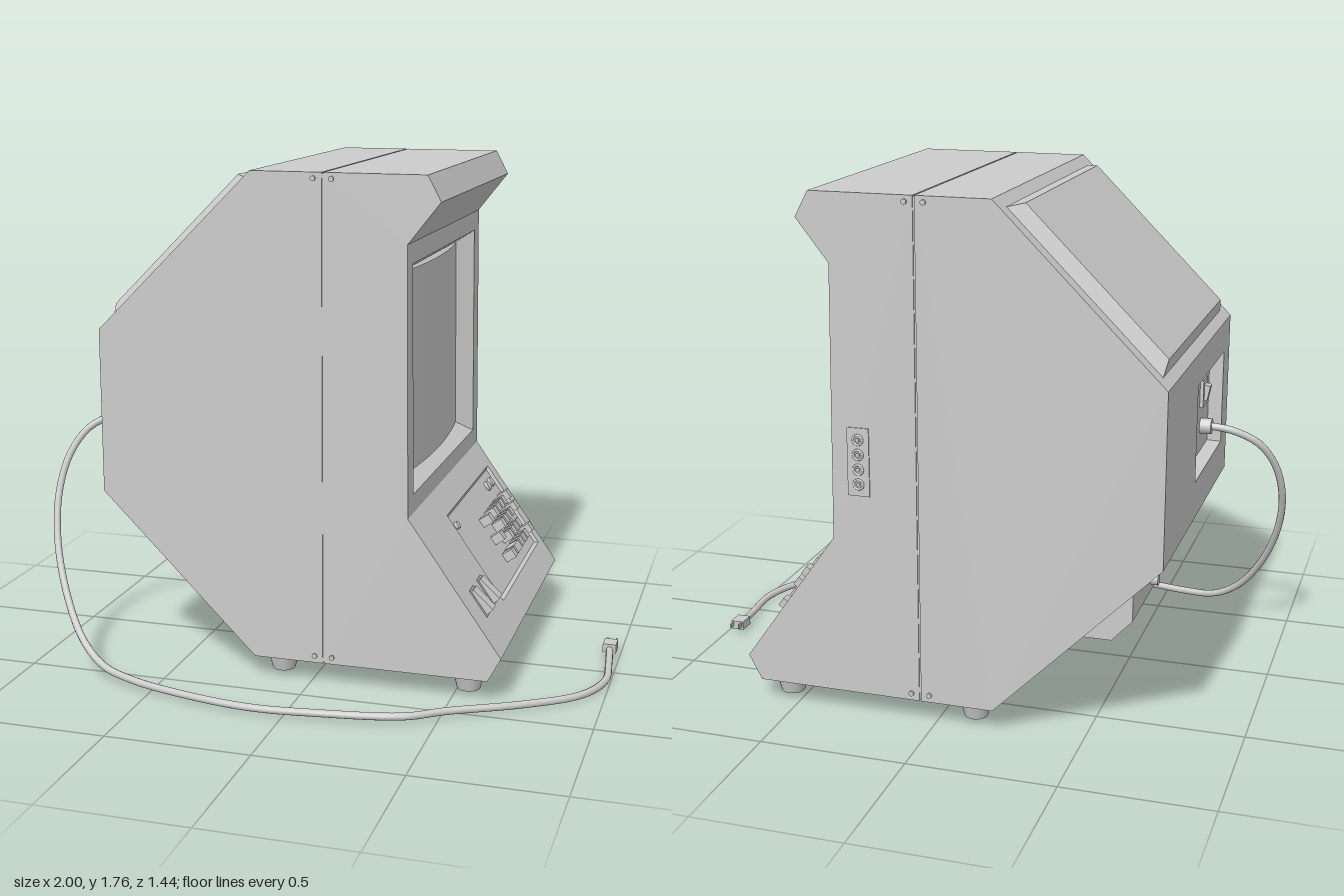
import * as THREE from 'three';

const Z0 = -0.715, Z1 = 0.39;
const grey = new THREE.MeshStandardMaterial({ color: 0xcccccc, side: THREE.DoubleSide });

function add(parent, name, geometry, x = 0, y = 0, z = 0) {
  const mesh = new THREE.Mesh(geometry, grey);
  mesh.name = name;
  mesh.position.set(x, y, z);
  parent.add(mesh);
  return mesh;
}

const box = (w, h, d) => new THREE.BoxGeometry(w, h, d);
const shapeOf = pts => new THREE.Shape(pts.map(p => new THREE.Vector2(...p)));
const rect = (u0, u1, v0, v1) => [[u0, v0], [u1, v0], [u1, v1], [u0, v1]];

// cylinder whose axis runs along z
const disc = (r, h, n = 16, r2 = r) => new THREE.CylinderGeometry(r, r2, h, n).rotateX(Math.PI / 2);

// Group lying on the cabinet edge p -> q: x along world z, y along the edge, z outward
function edgeFrame(parent, name, p, q) {
  const d = new THREE.Vector3(q[0] - p[0], q[1] - p[1], 0).normalize();
  const n = new THREE.Vector3(-d.y, d.x, 0);
  const g = new THREE.Group();
  g.name = name;
  g.quaternion.setFromRotationMatrix(new THREE.Matrix4().makeBasis(new THREE.Vector3(0, 0, 1), d, n));
  g.position.set(p[0], p[1], 0);
  parent.add(g);
  return g;
}

// Sloping rim from a rectangle to a smaller one at height h, optionally with a flat cap
function bevel([u0, u1, v0, v1], mu, mv, h, cap = true) {
  const outer = rect(u0, u1, v0, v1).map(p => [...p, 0]);
  const inner = rect(u0 + mu, u1 - mu, v0 + mv, v1 - mv).map(p => [...p, h]);
  const pos = [];
  const quad = (a, b, c, d) => pos.push(...a, ...b, ...c, ...a, ...c, ...d);
  for (let i = 0; i < 4; i++) quad(outer[i], outer[(i + 1) % 4], inner[(i + 1) % 4], inner[i]);
  if (cap) quad(...inner);
  const geo = new THREE.BufferGeometry();
  geo.setAttribute('position', new THREE.Float32BufferAttribute(pos, 3));
  geo.computeVertexNormals();
  return geo;
}

// Cabinet half from a clockwise profile; holes maps an edge index to an opening
function shell(parent, name, profile, holes) {
  const g = new THREE.Group();
  g.name = name;
  parent.add(g);
  for (const z of [Z0, Z1]) {
    const side = new THREE.ShapeGeometry(shapeOf(profile));
    if (z === Z0) {
      side.index.array.reverse();
      side.attributes.normal.array.forEach((v, i, a) => { a[i] = -v; });
    }
    add(g, 'sidePanel', side, 0, 0, z);
  }
  return profile.map((p, i) => {
    const q = profile[(i + 1) % profile.length];
    const f = edgeFrame(g, 'cabinetFace', p, q);
    const s = shapeOf(rect(Z0, Z1, 0, Math.hypot(q[0] - p[0], q[1] - p[1])));
    if (holes[i]) s.holes.push(new THREE.Path(rect(...holes[i]).reverse().map(c => new THREE.Vector2(...c))));
    add(f, 'facePanel', new THREE.ShapeGeometry(s));
    return f;
  });
}

export function createModel() {
  const model = new THREE.Group();
  model.name = 'displayTerminal';

  // Cabinet halves, split by a narrow seam
  const screenHole = [-0.635, 0.315, 0.07, 0.85];
  const keypadHole = [-0.655, 0.05, 0.098, 0.459];
  const socketHole = [-0.21, 0.28, 0.13, 0.465];
  const front = shell(model, 'frontShell', [[0.053, 1.765], [0.4, 1.765], [0.445, 1.68], [0.335, 1.54],
    [0.345, 0.625], [0.67, 0.165], [0.625, 0.08], [0.053, 0.08]], { 3: screenHole, 4: keypadHole });
  const rear = shell(model, 'rearShell', [[0.047, 0.08], [-0.2, 0.08], [-0.755, 0.635],
    [-0.755, 1.21], [-0.2, 1.765], [0.047, 1.765]], { 2: socketHole });
  add(model, 'seamCore', box(0.03, 1.677, 1.097), 0.05, 0.9225, -0.1625);

  // Screen: sloping surround and gently bowed glass
  add(front[3], 'screenSurround', bevel(screenHole, 0.045, 0.04, -0.06, false));
  const glass = new THREE.PlaneGeometry(0.86, 0.7, 20, 1);
  const gp = glass.attributes.position;
  for (let i = 0; i < gp.count; i++) gp.setZ(i, 0.03 * (1 - (gp.getX(i) / 0.43) ** 2));
  glass.computeVertexNormals();
  add(front[3], 'screenGlass', glass, -0.16, 0.46, -0.06);

  // Keypad in a shallow tray
  const desk = front[4];
  const down = y => (0.625 - y) * 1.224;
  add(desk, 'keypadTray', bevel(keypadHole, 0.004, 0.01, -0.012));
  const key = (z, y, w = 0.036) => add(desk, 'key', box(w, 0.034, 0.042), z, down(y), 0.009);
  const rows = [0.44, 0.398, 0.356, 0.314];
  for (const z of [-0.353, -0.404, -0.455, -0.505]) {
    for (const y of rows) if (z !== -0.353 || y !== rows[3]) key(z, y);
  }
  key(-0.333, rows[3], 0.075);
  for (const y of [0.44, 0.377, 0.314]) key(-0.262, y);
  for (const y of [0.44, 0.398, 0.314]) key(-0.6, y);
  for (const [z, r] of [[0, 0.014], [-0.54, 0.019], [-0.6, 0.019]]) {
    add(desk, 'indicator', disc(r, 0.014), z, down(0.5), -0.007);
  }

  // Two rocker switches beside the keypad
  for (const z of [0.255, 0.137]) {
    add(desk, 'rockerFrame', box(0.056, 0.108, 0.008), z, down(0.312));
    add(desk, 'rocker', box(0.048, 0.094, 0.03), z, down(0.312), 0.008).rotation.x = 0.2;
  }

  // Raised cover on the upper back slope
  add(rear[3], 'backCover', bevel([-0.66, 0.33, 0.04, 0.742], 0.045, 0.028, 0.039));

  // Rear socket bay with a power switch and cord grip
  add(rear[2], 'socketBay', bevel(socketHole, 0.002, 0.002, -0.05));
  add(rear[2], 'switchPlate', box(0.07, 0.1, 0.012), 0.14, 0.35, -0.044);
  add(rear[2], 'powerSwitch', box(0.035, 0.055, 0.025), 0.14, 0.35, -0.035).rotation.x = 0.2;
  add(rear[2], 'cordGrip', disc(0.028, 0.04), 0.14, 0.225, -0.03);

  // Housing under the lower back slope
  const housing = new THREE.ExtrudeGeometry(shapeOf([[-0.415, 0.285], [-0.415, 0.295], [-0.55, 0.295],
    [-0.62, 0.37], [-0.62, 0.51]].slice(1).reverse()), { depth: 0.33, bevelEnabled: false });
  add(model, 'lampHousing', housing, 0, 0, -0.52);
  add(model, 'housingFoot', new THREE.CylinderGeometry(0.042, 0.038, 0.045, 20), -0.44, 0.28, -0.36);
  add(model, 'housingKnob', new THREE.CylinderGeometry(0.02, 0.02, 0.03, 16).rotateZ(Math.PI / 2), -0.63, 0.41, -0.23);
  add(rear[1], 'ventPlate', box(0.33, 0.12, 0.02), -0.355, 0.185, 0.006);

  // Row of jacks on the side panel
  add(model, 'jackPlate', box(0.075, 0.23, 0.006), 0.25, 0.895, Z0 - 0.001);
  for (let i = 0; i < 4; i++) {
    const y = 0.82 + i * 0.05;
    add(model, 'jackRing', new THREE.TorusGeometry(0.016, 0.004, 8, 20), 0.25, y, Z0 - 0.005);
    add(model, 'jackPin', disc(0.007, 0.012, 12), 0.25, y, Z0 - 0.004);
  }

  // Screws beside the seam
  for (const z of [Z0, Z1]) for (const x of [0.018, 0.08]) for (const y of [0.105, 1.745]) {
    add(model, 'screw', disc(0.009, 0.014, 12), x, y, z);
  }

  // Tapered feet
  for (const x of [-0.12, 0.545]) for (const z of [0.31, -0.635]) {
    add(model, 'foot', new THREE.CylinderGeometry(0.055, 0.04, 0.06, 24), x, 0.05, z);
  }

  // Power cord trailing around to the front
  const path = [[-0.79, 0.86, 0.14], [-0.755, 0.86, 0.14], [-0.83, 0.845, 0.15], [-0.91, 0.8, 0.175],
    [-0.965, 0.71, 0.22], [-0.987, 0.58, 0.275], [-0.965, 0.42, 0.345], [-0.895, 0.25, 0.43], [-0.8, 0.12, 0.51],
    [-0.7, 0.055, 0.565], [-0.58, 0.036, 0.61], [-0.4, 0.03, 0.66], [-0.12, 0.027, 0.702], [0.12, 0.03, 0.69],
    [0.4, 0.03, 0.635], [0.52, 0.028, 0.55], [0.75, 0.022, 0.41], [0.92, 0.018, 0.27], [0.983, 0.016, 0.12],
    [0.975, 0.018, -0.05], [0.962, 0.025, -0.17]];
  path[0] = [-0.7, 0.86, 0.14];
  const curve = new THREE.CatmullRomCurve3(path.map(p => new THREE.Vector3(...p)));
  add(model, 'powerCord', new THREE.TubeGeometry(curve, 120, 0.013, 10));
  add(model, 'plugBody', box(0.048, 0.032, 0.06), 0.962, 0.03, -0.19);
  for (const x of [-0.016, 0.016]) add(model, 'plugBlade', box(0.005, 0.016, 0.03), 0.962 + x, 0.034, -0.228);
  return model;
}
